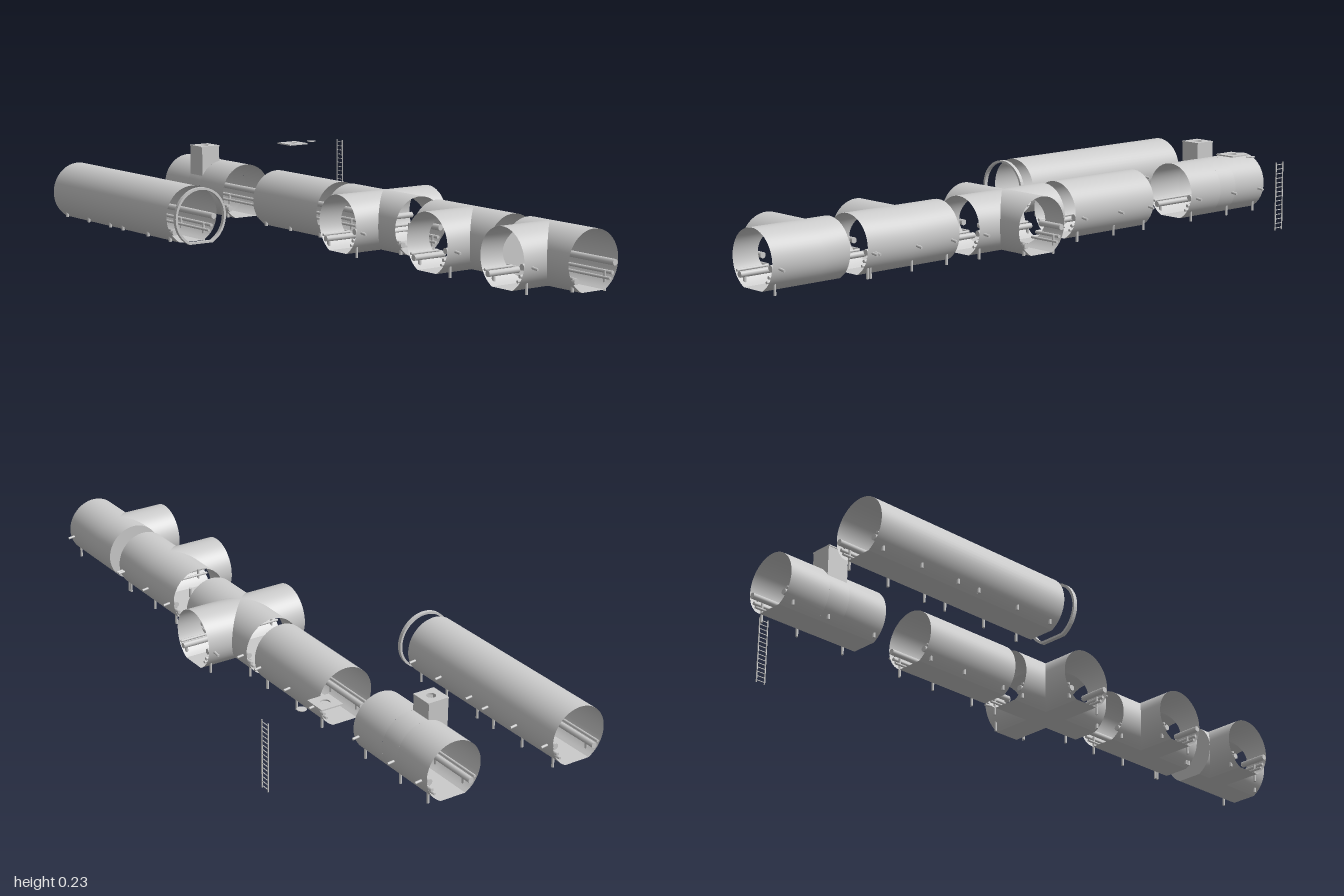
import * as THREE from 'three';

const R = 0.09, FLOOR = 0.01, A0 = Math.acos((R - FLOOR) / R);
const mat = new THREE.MeshStandardMaterial({ color: 0xcccccc, side: THREE.DoubleSide });

function add(parent, name, geo, x = 0, y = 0, z = 0) {
  const m = new THREE.Mesh(geo, mat);
  m.name = name;
  m.position.set(x, y, z);
  parent.add(m);
  return m;
}

// Points [sideways, height] on the tunnel wall, angle measured from the bottom
function arc(a, b, n) {
  return Array.from({ length: n + 1 }, (_, i) => {
    const t = a + (b - a) * i / n;
    return [R * Math.sin(t), R - R * Math.cos(t)];
  });
}
const WALL = arc(A0, 2 * Math.PI - A0, 48);
const FLAT = [-1, -0.5, 0, 0.5, 1].map(k => [k * R * Math.sin(A0), FLOOR]);

function section(scale = 1) {
  return new THREE.Shape(WALL.map(([u, y]) => new THREE.Vector2(u * scale, R + (y - R) * scale)));
}

// Skin swept along the arm from start(u) to end; place maps (along, height, sideways) to space
function skin(profile, start, end, place) {
  const pos = [], idx = [];
  profile.forEach(([u, y], i) => {
    pos.push(...place(start(u), y, u), ...place(end, y, u));
    if (i) {
      const k = 2 * i;
      idx.push(k - 2, k - 1, k, k, k - 1, k + 1);
    }
  });
  const g = new THREE.BufferGeometry();
  g.setAttribute('position', new THREE.Float32BufferAttribute(pos, 3));
  g.setIndex(idx);
  g.computeVertexNormals();
  return g;
}

function rod(parent, name, a, b, r) {
  const path = new THREE.LineCurve3(new THREE.Vector3(...a), new THREE.Vector3(...b));
  add(parent, name, new THREE.TubeGeometry(path, 1, r, 10));
  // end discs
  [a, b].forEach(p => {
    const d = add(parent, name + 'End', new THREE.CircleGeometry(r, 10), ...p);
    d.lookAt(new THREE.Vector3(...(p === a ? b : a)).lerp(new THREE.Vector3(...p), 2));
  });
}

// Service pipes along both walls and the pins that hold them through the shell
function services(group, start, end, place, high, stops) {
  const pipes = [[high * 0.08, 0.08, 0.009], [high * 0.071, 0.053, 0.005], [high * 0.062, 0.038, 0.004],
    [-high * 0.06, 0.042, 0.009], [-high * 0.072, 0.052, 0.004]];
  for (const [u, y, r] of pipes) rod(group, 'servicePipe', place(start(u), y, u), place(end, y, u), r);
  for (const t of stops) {
    rod(group, 'wallPin', place(t, 0.078, high * 0.075), place(t, 0.074, high * 0.11), 0.004);
    rod(group, 'floorPin', place(t, 0.058, high * 0.065), place(t, 0, high * 0.065), 0.004);
    rod(group, 'floorPin', place(t + 0.008, 0.042, -high * 0.06), place(t + 0.008, 0.012, -high * 0.06), 0.005);
  }
}

function arm(group, axis, sign, cx, cz, start, end, stops) {
  const place = axis === 'x'
    ? (t, y, u) => [cx + sign * t, y, cz + u]
    : (t, y, u) => [cx + u, y, cz + sign * t];
  add(group, 'tunnelWall', skin(WALL, start, end, place));
  add(group, 'tunnelFloor', skin(FLAT, start, end, place));
  services(group, start, end, place, axis === 'x' ? -1 : sign, stops);
}

const zero = () => 0;
const mitre = u => Math.abs(u);
const frontMitre = u => Math.max(u, 0);

export function createModel() {
  const model = new THREE.Group();
  const part = name => {
    const g = new THREE.Group();
    g.name = name;
    model.add(g);
    return g;
  };

  // Straight tunnels
  arm(part('longTunnel'), 'x', 1, -1, 0.36, zero, 0.67, [0.025, 0.16, 0.29, 0.365, 0.51, 0.635]);
  arm(part('shortTunnel'), 'x', 1, -0.46, -0.045, zero, 0.335, [0.02, 0.15, 0.305]);

  // End ring
  const ringShape = section();
  ringShape.holes.push(section(0.92));
  const ring = add(model, 'endRing', new THREE.ExtrudeGeometry(ringShape, { depth: 0.012, bevelEnabled: false }), -0.279, 0, 0.36);
  ring.rotation.y = -Math.PI / 2;

  // Tunnel with an access shaft, the wall left open under the shaft
  const access = part('accessTunnel');
  const x0 = -0.97, cz = -0.045, s0 = -0.835, s1 = -0.765;
  const place = (t, y, u) => [t, y, cz + u];
  const h0 = Math.PI - Math.asin(0.078 / R), h1 = Math.PI - Math.asin(0.012 / R);
  add(access, 'tunnelWall', skin(WALL, () => x0, s0, place));
  add(access, 'tunnelWall', skin(WALL, () => s1, -0.63, place));
  add(access, 'tunnelWall', skin(arc(A0, h0, 20), () => s0, s1, place));
  add(access, 'tunnelWall', skin(arc(h1, 2 * Math.PI - A0, 26), () => s0, s1, place));
  add(access, 'tunnelFloor', skin(FLAT, () => x0, -0.63, place));
  services(access, () => x0, -0.63, place, -1, [-0.945, -0.82, -0.655]);

  // Shaft walls
  const TOP = 0.226, edge = arc(h0, h1, 10);
  const side = new THREE.Shape([...edge, [0.012, TOP], [0.078, TOP]].map(p => new THREE.Vector2(...p)));
  for (const x of [s0, s1]) {
    add(access, 'shaftSide', new THREE.ShapeGeometry(side), x, 0, cz).rotation.y = -Math.PI / 2;
  }
  for (const [u, y] of [edge[0], edge[10]]) {
    add(access, 'shaftWall', new THREE.PlaneGeometry(s1 - s0, TOP - y), -0.8, (TOP + y) / 2, cz + u);
  }

  // Square hatch frames with a round opening
  function hatchFrame(parent, x, z, half) {
    const s = new THREE.Shape([[-1, -1], [1, -1], [1, 1], [-1, 1]].map(([a, b]) => new THREE.Vector2(a * half, b * half)));
    s.holes.push(new THREE.Path().absarc(0, 0, 0.014, 0, Math.PI * 2, true));
    const g = new THREE.ExtrudeGeometry(s, { depth: 0.004, bevelEnabled: false, curveSegments: 20 });
    add(parent, 'hatchFrame', g, x, 0.226, z).rotation.x = -Math.PI / 2;
  }
  hatchFrame(access, -0.8, 0, 0.035);
  hatchFrame(model, -0.675, -0.262, 0.035);
  add(model, 'hatchCover', new THREE.CylinderGeometry(0.014, 0.014, 0.002, 24), -0.675, 0.23, -0.338);

  // Ladder
  const ladder = part('ladder');
  for (const x of [-0.69, -0.66]) add(ladder, 'rail', new THREE.BoxGeometry(0.003, 0.209, 0.003), x, 0.1225, -0.455);
  for (let i = 0; i < 15; i++) {
    add(ladder, 'rung', new THREE.BoxGeometry(0.03, 0.002, 0.002), -0.675, 0.025 + i * 0.0139, -0.455);
  }

  // Four-way crossing
  const cross = part('crossing');
  for (const axis of ['x', 'z']) {
    for (const s of [1, -1]) arm(cross, axis, s, 0.09, -0.045, mitre, 0.17, [0.15]);
  }

  // Three-way junction
  const tee = part('teeJunction');
  for (const s of [1, -1]) arm(tee, 'x', s, 0.505, -0.045, frontMitre, 0.168, [0.01 + 0.07 * (s + 1), 0.14]);
  arm(tee, 'z', 1, 0.505, -0.045, mitre, 0.17, [0.14]);

  // Corner closed by an end wall
  const corner = part('corner');
  arm(corner, 'x', 1, 0.825, -0.045, frontMitre, 0.175, [0.15]);
  arm(corner, 'x', -1, 0.825, -0.045, frontMitre, 0.09, []);
  arm(corner, 'z', 1, 0.825, -0.045, mitre, 0.17, [0.14]);
  add(corner, 'endWall', new THREE.ShapeGeometry(section()), 0.735, 0, -0.045).rotation.y = -Math.PI / 2;

  return model;
}
